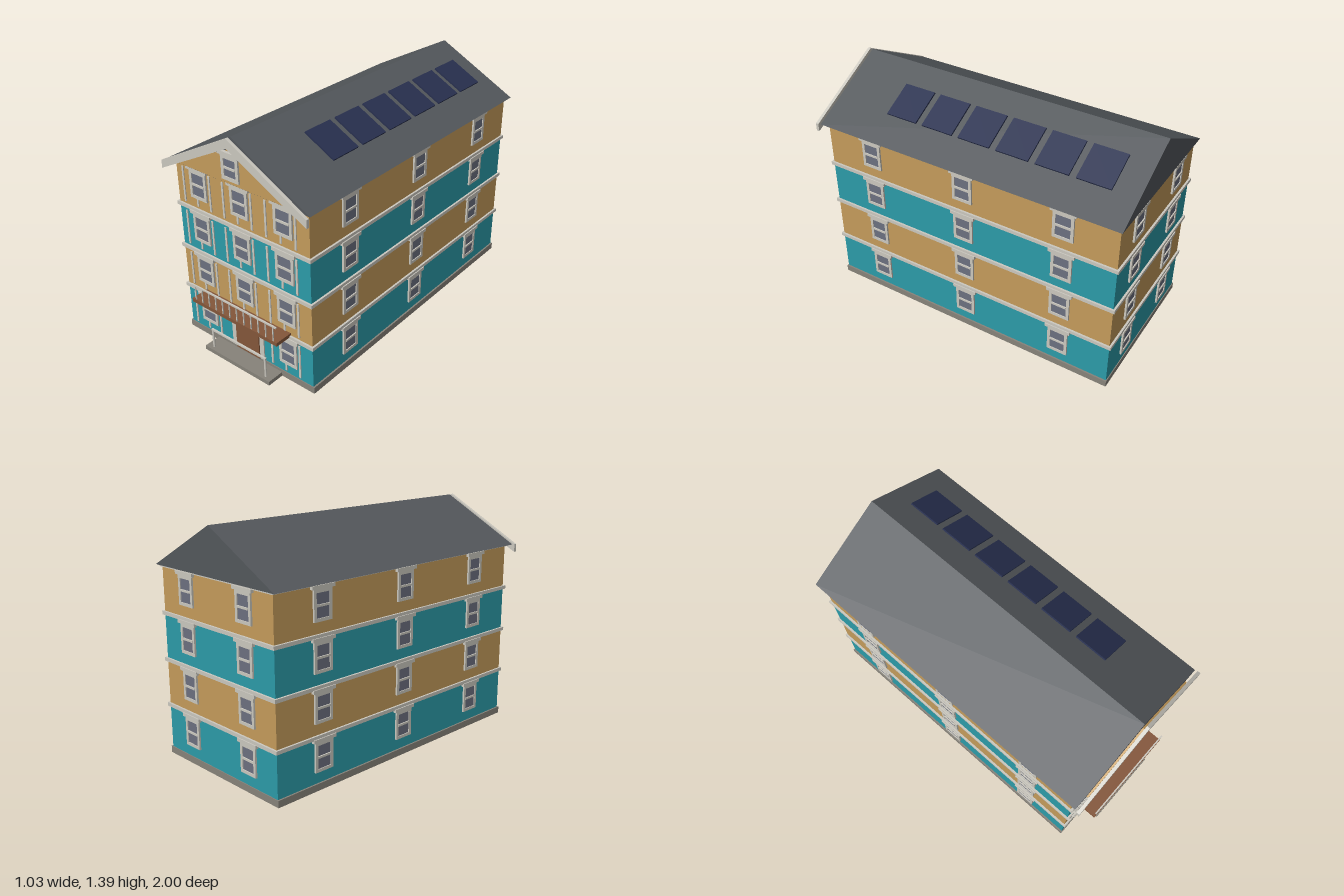
import * as THREE from 'three';

const mat = (name, color) => Object.assign(new THREE.MeshStandardMaterial({ color }), { name });

export function createModel() {
  const M = {
    teal: mat('teal wall', 0x2c9ba8),
    ochre: mat('ochre wall', 0xc49b5b),
    trim: mat('off-white trim', 0xcbc8bf),
    glass: mat('window glass', 0x6c7080),
    roof: mat('slate roof', 0x54585c),
    panel: mat('solar panel', 0x28304f),
    wood: mat('brown wood', 0x84563a),
    stone: mat('foundation stone', 0x87837a),
  };
  const house = new THREE.Group();
  house.name = 'house';

  const add = (parent, name, geometry, material) => {
    const mesh = new THREE.Mesh(geometry, material);
    mesh.name = name;
    parent.add(mesh);
    return mesh;
  };
  // Box given by its min and max on each axis
  const box = (parent, name, material, x0, x1, y0, y1, z0, z1) => {
    const m = add(parent, name, new THREE.BoxGeometry(x1 - x0, y1 - y0, z1 - z0), material);
    m.position.set((x0 + x1) / 2, (y0 + y1) / 2, (z0 + z1) / 2);
    return m;
  };
  // Polygon in the xy plane, extruded from z0 to z1
  const prism = (parent, name, material, points, z0, z1) => {
    const shape = new THREE.Shape(points.map(([x, y]) => new THREE.Vector2(x, y)));
    const g = new THREE.ExtrudeGeometry(shape, { depth: z1 - z0, bevelEnabled: false });
    return add(parent, name, g.translate(0, 0, z0), material);
  };

  const W = 0.475, FRONT = 0.89, BACK = -0.98, H = 0.272;
  const floorBase = (i) => 0.03 + H * i;

  // Window: open surround, recessed glass, meeting rail and head moulding; origin at sill centre
  const makeWindow = (w = 0.125, h = 0.17, gw = 0.09, gy0 = 0.0175, gy1 = 0.15) => {
    const g = new THREE.Group();
    g.name = 'window';
    const s = new THREE.Shape();
    s.moveTo(-w / 2, 0).lineTo(w / 2, 0).lineTo(w / 2, h).lineTo(-w / 2, h).closePath();
    const hole = new THREE.Path();
    hole.moveTo(-gw / 2, gy0).lineTo(-gw / 2, gy1).lineTo(gw / 2, gy1).lineTo(gw / 2, gy0).closePath();
    s.holes.push(hole);
    add(g, 'windowSurround', new THREE.ExtrudeGeometry(s, { depth: 0.011, bevelEnabled: false }), M.trim);
    box(g, 'windowGlass', M.glass, -gw / 2, gw / 2, gy0, gy1, 0, 0.006);
    const mid = (gy0 + gy1) / 2;
    box(g, 'meetingRail', M.trim, -gw / 2, gw / 2, mid - 0.006, mid + 0.006, 0, 0.013);
    box(g, 'windowHead', M.trim, -w / 2 - 0.015, w / 2 + 0.015, h, h + 0.02, 0, 0.018);
    return g;
  };
  const windowProto = makeWindow();
  const placeWindow = (x, y, z, turn) => {
    const w = windowProto.clone();
    w.position.set(x, y, z);
    w.rotation.y = turn;
    house.add(w);
  };

  // Foundation and front step
  box(house, 'foundation', M.stone, -0.485, 0.485, 0, 0.04, -0.985, 0.895);
  box(house, 'frontStep', M.stone, -0.25, 0.25, 0, 0.025, 0.89, 1.0);

  // Four storeys with bands, battens and windows
  for (let i = 0; i < 4; i++) {
    const y = floorBase(i);
    box(house, 'storeyWall', i % 2 ? M.ochre : M.teal, -W, W, Math.max(y, 0.035), y + H, BACK, FRONT);
    const top = i === 3 ? 1.109 : y + H - 0.011;
    box(house, 'floorBand', M.trim, -0.487, 0.487, top, i === 3 ? 1.119 : top + 0.021, BACK - 0.012, FRONT + 0.012);

    for (let k = 0; k < 9; k++) {
      const x = -0.424 + 0.101 * k;
      box(house, 'wallBatten', M.trim, x - 0.0065, x + 0.0065, y + 0.025, y + 0.24, FRONT - 0.002, FRONT + 0.005);
    }
    const sill = y + 0.075;
    for (const x of [-0.305, 0, 0.305]) {
      if (i > 0 || x !== 0) placeWindow(x, sill, FRONT, 0);
    }
    for (const x of [-0.25, 0.25]) placeWindow(x, sill, BACK, Math.PI);
    for (const z of [0.58, -0.042, -0.665]) {
      placeWindow(W, sill, z, Math.PI / 2);
      placeWindow(-W, sill, z, -Math.PI / 2);
    }
  }

  // Door and its surround
  box(house, 'doorSurround', M.trim, -0.12, 0.12, 0.04, 0.3, 0.885, 0.897);
  box(house, 'door', M.wood, -0.088, 0.088, 0.04, 0.295, 0.885, 0.904);

  // Balcony with a front railing
  box(house, 'balconyFloor', M.wood, -0.323, 0.323, 0.304, 0.326, 0.88, 1.0);
  box(house, 'balconyRail', M.trim, -0.32, 0.32, 0.416, 0.425, 0.991, 1.0);
  for (let k = 0; k < 12; k++) {
    const x = -0.295 + 0.0537 * k;
    box(house, 'balconyBaluster', M.trim, x - 0.003, x + 0.003, 0.32, 0.42, 0.992, 0.998);
  }

  // Handrail on the step
  box(house, 'stepRail', M.trim, -0.21, 0.21, 0.142, 0.152, 0.969, 0.981);
  for (const x of [-0.203, 0.203]) {
    const post = add(house, 'stepPost', new THREE.CylinderGeometry(0.007, 0.007, 0.125, 12), M.trim);
    post.position.set(x, 0.0845, 0.975);
  }

  // Roof, front gable, attic window and barge boards
  prism(house, 'roof', M.roof, [[-0.51, 1.118], [0.51, 1.118], [0, 1.388]], -1.0, 0.923);
  prism(house, 'gableWall', M.ochre, [[-0.42, 1.127], [0.42, 1.127], [0, 1.325]], 0.915, 0.934);
  const attic = makeWindow(0.12, 0.14, 0.082, 0.02, 0.12);
  attic.name = 'atticWindow';
  attic.position.set(0, 1.15, 0.934);
  house.add(attic);
  prism(house, 'bargeBoards', M.trim, [
    [-0.515, 1.07], [0, 1.335], [0.515, 1.07], [0.515, 1.118], [0, 1.39], [-0.515, 1.118],
  ], 0.937, 0.956);

  // Solar panels on the right-hand slope of the front elevation
  for (let k = 0; k < 6; k++) {
    const p = add(house, 'solarPanel', new THREE.BoxGeometry(0.218, 0.01, 0.2), M.panel);
    p.position.set(0.252, 1.275, -0.755 + 0.241 * k);
    p.rotation.z = -Math.atan2(0.27, 0.51);
  }
  return house;
}
